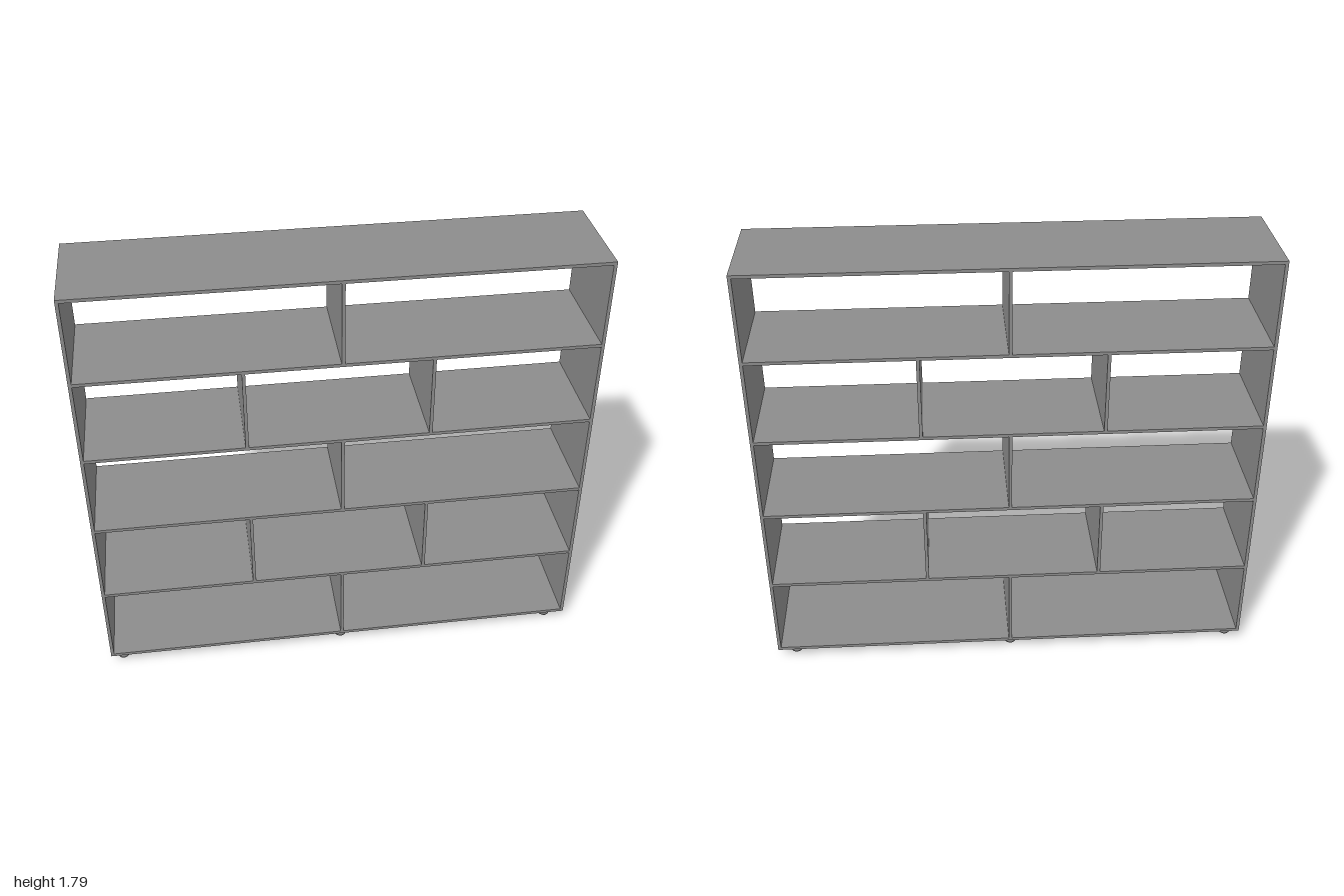
import * as THREE from 'three';
import { toCreasedNormals } from 'three/addons/utils/BufferGeometryUtils.js';

export function createModel() {
  const model = new THREE.Group();
  model.name = 'bookcase';
  const boardMaterial = new THREE.MeshStandardMaterial({ color: 0x8c8c8c });
  const lampMaterial = new THREE.MeshStandardMaterial({ color: 0xcccccc });
  const footMaterial = new THREE.MeshStandardMaterial({ color: 0x6c6c6c });

  const pitch = 0.3475, firstY = 0.051, board = 0.013, depth = 0.422;
  const shelfY = (i) => firstY + i * pitch;

  const add = (name, geometry, material, x, y, z) => {
    const mesh = new THREE.Mesh(geometry, material);
    mesh.name = name;
    mesh.position.set(x, y, z);
    model.add(mesh);
  };

  // Six full-width shelves
  const shelfGeo = new THREE.BoxGeometry(2, board, depth);
  for (let i = 0; i < 6; i++) add('shelf', shelfGeo, boardMaterial, 0, shelfY(i), 0);

  // Upright panels between shelves; dividers alternate one and two per row
  const panelGeo = new THREE.BoxGeometry(board, pitch - board, depth);
  const sideX = 1 - board / 2;
  for (let row = 0; row < 5; row++) {
    const y = shelfY(row) + pitch / 2;
    for (const x of [-sideX, sideX]) add('sidePanel', panelGeo, boardMaterial, x, y, 0);
    for (const x of row % 2 ? [-0.368, 0.347] : [0.002]) add('divider', panelGeo, boardMaterial, x, y, 0);
  }

  // Oval tapered lamps under every raised shelf
  const lampHeight = 0.02;
  const lampGeo = new THREE.CylinderGeometry(0.037, 0.029, lampHeight, 32);
  lampGeo.scale(1, 1, 1.4);
  for (let i = 1; i < 6; i++) {
    const y = shelfY(i) - (board + lampHeight) / 2;
    for (const x of i % 2 ? [-0.495, 0.495] : [-0.675, 0.002, 0.668]) add('lamp', lampGeo, lampMaterial, x, y, 0.025);
  }

  // Oval feet: flared base, narrow stem and top collar
  const profile = [
    [0, 0], [0.03, 0], [0.03, 0.003], [0.018, 0.009], [0.016, 0.012],
    [0.016, 0.032], [0.022, 0.036], [0.022, 0.045], [0, 0.045],
  ].map(([r, y]) => new THREE.Vector2(r, y));
  const lathe = new THREE.LatheGeometry(profile, 28);
  lathe.scale(1, 1, 1.5);
  const footGeo = toCreasedNormals(lathe, 0.6);
  for (const x of [-0.95, 0, 0.928]) {
    for (const z of [-0.132, 0.138]) add('foot', footGeo, footMaterial, x, 0, z);
  }

  return model;
}
